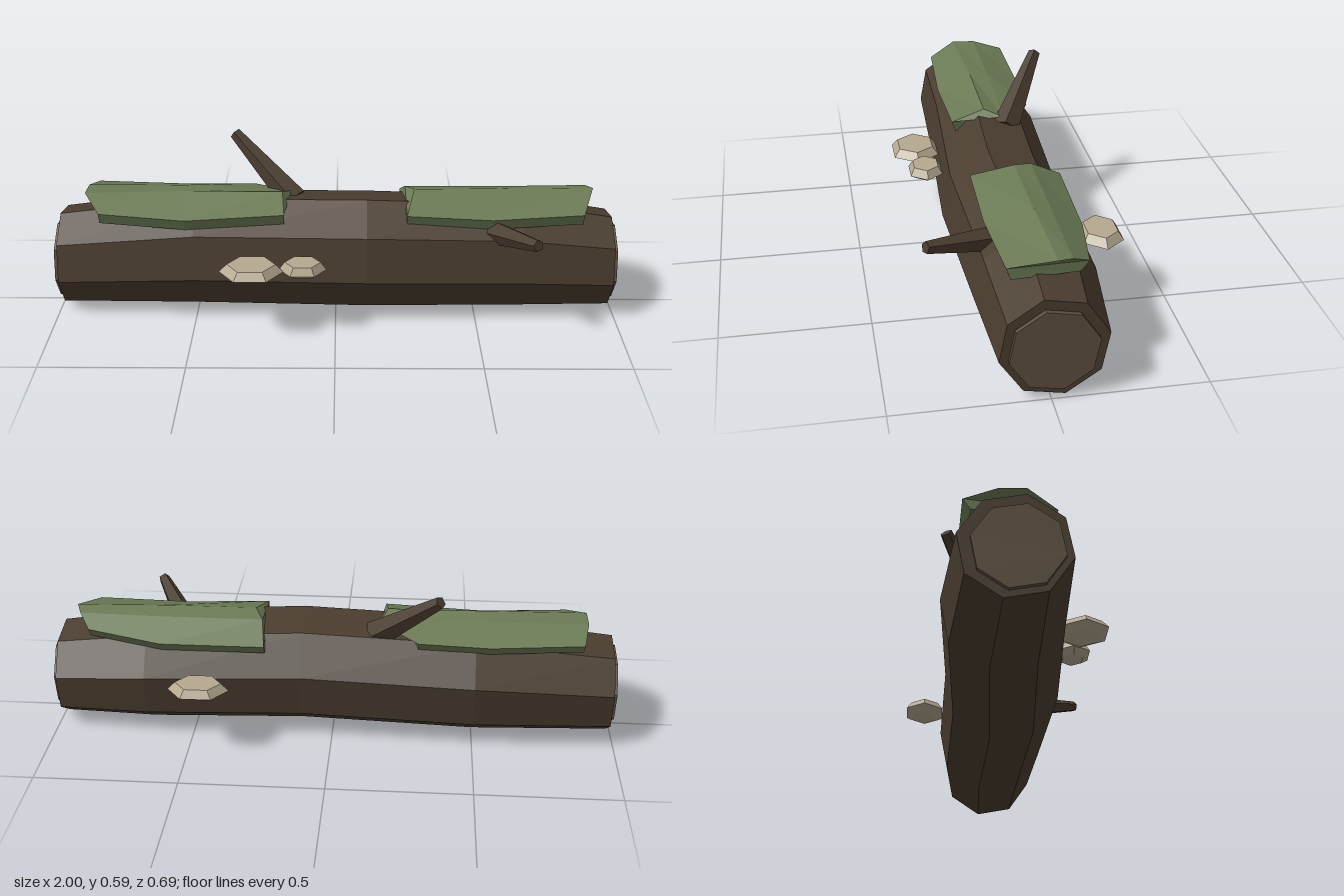
import * as THREE from 'three';

const material = (color) => new THREE.MeshStandardMaterial({ color, flatShading: true });
const bark = material(0x4a3d2f);
const cutWood = material(0x5e5040);
const mossGreen = material(0x6b7a55);
const cream = material(0xb5a890);

function addMesh(group, name, geometry, mat) {
  const mesh = new THREE.Mesh(geometry, mat);
  mesh.name = name;
  group.add(mesh);
  return mesh;
}

// Skin a row of closed cross-sections running along +x, with both ends closed
function loft(rings) {
  const n = rings[0].length;
  const positions = rings.flat(2);
  const index = [];
  for (let i = 0; i < rings.length - 1; i++) {
    for (let j = 0; j < n; j++) {
      const a = i * n + j, b = i * n + (j + 1) % n;
      index.push(a, a + n, b + n, a, b + n, b);
    }
  }
  const last = (rings.length - 1) * n;
  for (let j = 1; j < n - 1; j++) {
    index.push(0, j, j + 1, last, last + j + 1, last + j);
  }
  const geometry = new THREE.BufferGeometry();
  geometry.setAttribute('position', new THREE.Float32BufferAttribute(positions, 3));
  geometry.setIndex(index);
  geometry.computeVertexNormals();
  return geometry;
}

// Slightly turned octagon across the log
function octagon(x, y, z, r) {
  return Array.from({ length: 8 }, (_, k) => {
    const a = THREE.MathUtils.degToRad(-11.8 + 45 * k);
    return [x, y + r * Math.sin(a), z + r * Math.cos(a)];
  });
}

// Draped patch: each section holds front edge, two ridge points and back edge
function mossPatch(sections) {
  return loft(sections.map(([front, ridge, ridgeBack, back]) => [
    front, ridge, ridgeBack, back,
    [back[0], back[1] - 0.035, back[2] + 0.025],
    [front[0], front[1] - 0.04, front[2] - 0.015],
  ]));
}

function addBranch(group, name, base, tip, baseRadius, tipRadius) {
  const from = new THREE.Vector3(...base), to = new THREE.Vector3(...tip);
  const direction = to.clone().sub(from);
  const mesh = addMesh(group, name,
    new THREE.CylinderGeometry(tipRadius, baseRadius, direction.length(), 5), bark);
  mesh.position.copy(from).add(to).multiplyScalar(0.5);
  mesh.quaternion.setFromUnitVectors(new THREE.Vector3(0, 1, 0), direction.normalize());
}

export function createModel() {
  const group = new THREE.Group();
  group.name = 'fallenLog';

  // Trunk, thicker and a little bent in the middle
  addMesh(group, 'trunk', loft([
    octagon(-0.985, 0.179, -0.017, 0.176),
    octagon(-0.5, 0.205, -0.027, 0.207),
    octagon(0.11, 0.212, 0.003, 0.21),
    octagon(0.66, 0.197, -0.016, 0.201),
    octagon(0.985, 0.175, -0.011, 0.174),
  ]), bark);

  // Pale cut ends
  for (const [name, x0, x1] of [['rightCutEnd', -1, -0.97], ['leftCutEnd', 0.97, 1]]) {
    addMesh(group, name,
      loft([octagon(x0, 0.171, -0.009, 0.143), octagon(x1, 0.171, -0.009, 0.143)]), cutWood);
  }

  // Moss patches
  addMesh(group, 'rightMoss', mossPatch([
    [[-0.83, 0.395, 0.125], [-0.89, 0.433, 0.025], [-0.89, 0.43, -0.06], [-0.87, 0.4, -0.17]],
    [[-0.53, 0.375, 0.137], [-0.53, 0.436, 0.01], [-0.54, 0.43, -0.06], [-0.55, 0.385, -0.18]],
    [[-0.18, 0.395, 0.13], [-0.19, 0.434, 0.01], [-0.16, 0.41, -0.06], [-0.3, 0.39, -0.172]],
  ]), mossGreen);
  addMesh(group, 'leftMoss', mossPatch([
    [[0.25, 0.392, 0.13], [0.28, 0.434, -0.015], [0.25, 0.42, -0.08], [0.235, 0.365, -0.186]],
    [[0.55, 0.378, 0.133], [0.6, 0.436, -0.02], [0.6, 0.42, -0.08], [0.6, 0.362, -0.18]],
    [[0.87, 0.392, 0.118], [0.92, 0.434, -0.03], [0.9, 0.425, -0.08], [0.86, 0.39, -0.14]],
  ]), mossGreen);

  // Broken branch stubs
  addBranch(group, 'backBranch', [-0.15, 0.37, -0.065], [-0.37, 0.572, -0.215], 0.052, 0.022);
  addBranch(group, 'frontBranch', [0.55, 0.315, 0.08], [0.68, 0.377, 0.335], 0.046, 0.021);

  // Shelf mushrooms: x, z, width radius, depth radius
  const profile = [[0, 0.222], [0.6, 0.222], [1, 0.24], [0.75, 0.268], [0, 0.268]]
    .map(([r, y]) => new THREE.Vector2(r, y));
  [
    [-0.29, 0.258, 0.112, 0.082],
    [-0.113, 0.24, 0.083, 0.058],
    [0.455, -0.278, 0.107, 0.068],
  ].forEach(([x, z, rx, rz], i) => {
    const cap = addMesh(group, `shelfMushroom${i + 1}`,
      new THREE.LatheGeometry(profile, 6, Math.PI / 2), cream);
    cap.position.set(x, 0, z);
    cap.scale.set(rx, 1, rz / 0.866);
  });

  return group;
}
